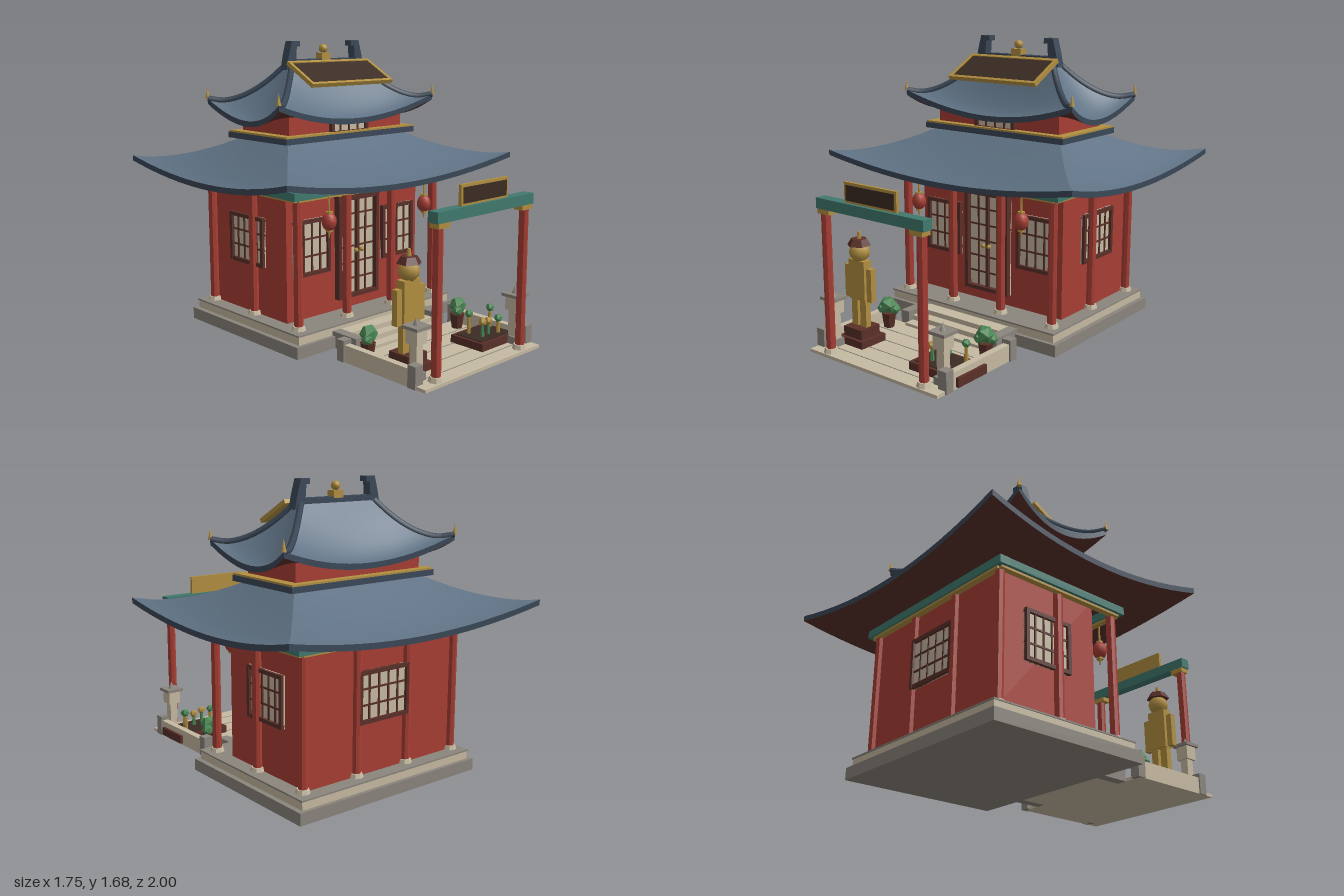
import * as THREE from 'three';

const mat = (name, color, side = THREE.FrontSide) => {
  const m = new THREE.MeshStandardMaterial({ color, side });
  m.name = name;
  return m;
};

export function createModel() {
  const root = new THREE.Group();
  root.name = 'templeWithCourtyard';
  const red = mat('red lacquer', 0xa83e34), slate = mat('roof slate', 0x5f7284), navy = mat('ridge navy', 0x3b4858);
  const gold = mat('gold', 0xb28f40), teal = mat('teal', 0x41796f), stone = mat('pale stone', 0xc6baa2);
  const grey = mat('grey stone', 0x8b857d), dark = mat('sign brown', 0x3b2c23);
  const wood = mat('mahogany', 0x5a3029), green = mat('leaf green', 0x4c8a55);
  const CZ = -0.273; // centre of the hall in z

  const add = (name, geo, material, x = 0, y = 0, z = 0, parent = root) => {
    const m = new THREE.Mesh(geo, material);
    m.name = name;
    m.position.set(x, y, z);
    parent.add(m);
    return m;
  };
  // box from its bounds on each axis
  const box = (name, m, x0, x1, y0, y1, z0, z1, parent = root) =>
    add(name, new THREE.BoxGeometry(x1 - x0, y1 - y0, z1 - z0), m, (x0 + x1) / 2, (y0 + y1) / 2, (z0 + z1) / 2, parent);
  // box centred in plan on the hall
  const slab = (name, m, hx, y0, y1, hz) => box(name, m, -hx, hx, y0, y1, CZ - hz, CZ + hz);
  // faceted round part standing from y0 to y1
  const drum = (name, m, r0, r1, y0, y1, x, z, sides = 8, parent = root) =>
    add(name, new THREE.CylinderGeometry(r1, r0, y1 - y0, sides).toNonIndexed(), m, x, (y0 + y1) / 2, z, parent)
      .geometry.computeVertexNormals();
  const clump = (name, m, r, x, y, z) => add(name, new THREE.IcosahedronGeometry(r, 0), m, x, y, z);

  // surface from a rule p(u, v) => [x, y, z]
  const grid = (p, nu, nv) => {
    const pos = [], idx = [];
    for (let j = 0; j <= nv; j++) for (let i = 0; i <= nu; i++) pos.push(...p(i / nu, j / nv));
    for (let j = 0; j < nv; j++) for (let i = 0; i < nu; i++) {
      const a = j * (nu + 1) + i, b = a + 1, c = a + nu + 1, d = c + 1;
      idx.push(a, c, b, b, c, d);
    }
    const g = new THREE.BufferGeometry();
    g.setAttribute('position', new THREE.Float32BufferAttribute(pos, 3));
    g.setIndex(idx);
    g.computeVertexNormals();
    return g;
  };
  const turns = [(a, y, b) => [a, y, b], (a, y, b) => [b, y, -a], (a, y, b) => [-a, y, -b], (a, y, b) => [-b, y, a]];

  // sweeping hipped roof: slopes, fascia and soffit on four sides
  const roof = (name, o) => {
    const g = new THREE.Group();
    g.name = name;
    g.position.z = CZ;
    root.add(g);
    const lerp = THREE.MathUtils.lerp;
    const point = (k, s, t) => {
      const [top, eave] = k % 2 ? [[o.top[1], o.top[0]], [o.eave[1], o.eave[0]]] : [o.top, o.eave];
      const y = o.y - o.drop * (1 - (1 - t) ** o.power) + o.lift * s * s * t * t;
      return turns[k](s * lerp(top[0], eave[0], t), y, lerp(top[1], eave[1], t) - o.bow * (1 - s * s) * t);
    };
    for (let k = 0; k < 4; k++) {
      const edge = (u, down) => {
        const [x, y, z] = point(k, u * 2 - 1, 1);
        return [x, y - down, z];
      };
      add('roofSlope', grid((u, v) => point(k, u * 2 - 1, v), 16, 10), slate, 0, 0, 0, g);
      add('eaveFascia', grid((u, v) => edge(u, v * 0.032), 16, 1), navy, 0, 0, 0, g);
      const inner = k % 2 ? [o.inner[1], o.inner[0]] : o.inner;
      add('soffit', grid((u, v) => {
        const e = edge(u, 0.032), w = turns[k]((u * 2 - 1) * inner[0], o.innerY, inner[1]);
        return e.map((c, i) => lerp(c, w[i], v));
      }, 16, 3), wood, 0, 0, 0, g);
      if (o.hips) {
        const pts = [0, 0.2, 0.4, 0.6, 0.8, 1].map(t => new THREE.Vector3(...point(k, 1, t)));
        add('hipRidge', new THREE.TubeGeometry(new THREE.CatmullRomCurve3(pts), 16, 0.018, 6), navy, 0, 0, 0, g);
        const c = pts[5];
        add('cornerTip', new THREE.ConeGeometry(0.014, 0.065, 6), gold, c.x, c.y + 0.03, c.z, g);
      }
    }
  };

  // lattice panel facing +z, centred on its group
  const lattice = (name, w, h, cols, rows, x, y, z, turn = 0, deep = 0.025) => {
    const g = new THREE.Group();
    g.name = name;
    g.position.set(x, y, z);
    g.rotation.y = turn;
    root.add(g);
    box('panes', stone, -w / 2, w / 2, -h / 2, h / 2, 0, 0.008, g);
    for (let i = 0; i <= cols; i++) {
      const r = i % cols ? 0.005 : 0.011, px = (i / cols - 0.5) * (w - 0.022);
      box('upright', wood, px - r, px + r, -h / 2, h / 2, 0, i % cols ? 0.015 : deep, g);
    }
    for (let j = 0; j <= rows; j++) {
      const r = j % rows ? 0.005 : 0.011, py = (j / rows - 0.5) * (h - 0.022);
      box('crossbar', wood, -w / 2, w / 2, py - r, py + r, 0, j % rows ? 0.0145 : deep - 0.001, g);
    }
  };

  // plinth
  slab('plinthBase', grey, 0.634, 0, 0.068, 0.497);
  slab('plinthTop', stone, 0.605, 0.068, 0.114, 0.475);
  slab('plinthCap', grey, 0.61, 0.114, 0.123, 0.48);

  // hall walls, columns and beams
  box('hallWalls', red, -0.52, 0.52, 0.12, 0.905, -0.67, 0);
  const column = (x, z, y0, y1) => {
    drum('columnFoot', stone, 0.042, 0.034, y0, y0 + 0.026, x, z);
    drum('column', red, 0.026, 0.026, y0 + 0.02, y1, x, z);
  };
  for (const x of [-0.54, -0.18, 0.18, 0.54]) for (const z of [0.125, -0.67]) column(x, z, 0.12, 0.86);
  for (const x of [-0.54, 0.54]) column(x, CZ, 0.12, 0.86);
  for (const s of [-1, 1]) {
    const zb = CZ + s * 0.415, xb = s * 0.565;
    box('eaveBeam', teal, -0.6, 0.6, 0.852, 0.897, zb - 0.03, zb + 0.03);
    box('eaveBeam', teal, xb - 0.035, xb + 0.035, 0.853, 0.896, CZ - 0.444, CZ + 0.444);
    box('beamTrim', gold, -0.56, 0.56, 0.84, 0.853, zb - 0.018, zb + 0.018);
    box('beamTrim', gold, xb - 0.018, xb + 0.018, 0.84, 0.853, CZ - 0.42, CZ + 0.42);
  }

  // doors and windows
  lattice('frontDoors', 0.32, 0.605, 4, 6, 0, 0.493, 0, 0, 0.04);
  box('doorSplit', wood, -0.009, 0.009, 0.19, 0.795, 0, 0.03);
  box('doorLintel', wood, -0.165, 0.165, 0.79, 0.805, 0, 0.042);
  box('lintelTrim', gold, -0.16, 0.16, 0.805, 0.822, 0, 0.04);
  for (const s of [-1, 1]) {
    add('doorHandle', new THREE.SphereGeometry(0.014, 8, 6), gold, s * 0.022, 0.47, 0.036);
    lattice('frontWindow', 0.265, 0.325, 4, 3, s * 0.343, 0.538, 0);
    lattice('sideWindow', 0.31, 0.29, 5, 3, s * 0.52, 0.555, -0.34, s * Math.PI / 2);
  }
  lattice('backWindow', 0.36, 0.29, 5, 3, 0, 0.555, -0.67, Math.PI);

  // lower roof, waist and upper storey
  roof('lowerRoof', { y: 1.135, drop: 0.215, lift: 0.09, power: 1.3, bow: 0.03, top: [0.44, 0.2], eave: [0.876, 0.727], inner: [0.45, 0.3], innerY: 0.9 });
  slab('waistBand', navy, 0.505, 1.127, 1.16, 0.267);
  slab('waistTrim', gold, 0.5, 1.16, 1.17, 0.262);
  slab('upperWalls', red, 0.44, 1.1, 1.28, 0.212);
  lattice('upperWindow', 0.29, 0.1, 4, 1, 0, 1.2, CZ + 0.212);
  roof('upperRoof', { y: 1.55, drop: 0.305, lift: 0.11, power: 1.5, bow: 0.035, top: [0.26, 0.025], eave: [0.602, 0.328], inner: [0.4, 0.18], innerY: 1.26, hips: true });

  // main ridge with horned ends and finial
  slab('mainRidge', navy, 0.29, 1.52, 1.578, 0.027);
  const horn = new THREE.Shape([[0.235, 1.52], [0.302, 1.52], [0.285, 1.6], [0.262, 1.682], [0.2, 1.682], [0.2, 1.652], [0.225, 1.652]]
    .map(p => new THREE.Vector2(...p)));
  for (const s of [0, 1]) {
    const h = add('ridgeHorn', new THREE.ExtrudeGeometry(horn, { depth: 0.056, bevelEnabled: false }), navy, 0, 0, CZ + (s ? 0.028 : -0.028));
    h.rotation.y = s * Math.PI;
  }
  slab('finialBlock', gold, 0.034, 1.57, 1.612, 0.028);
  add('finialBall', new THREE.SphereGeometry(0.026, 10, 8), gold, 0, 1.637, CZ);

  // tilted roof sign
  const board = new THREE.Group();
  board.name = 'roofSign';
  board.position.set(0, 1.5, -0.118);
  board.rotation.x = -Math.PI / 2 + Math.atan2(0.12, 0.22);
  root.add(board);
  box('signBack', gold, -0.315, 0.315, -0.125, 0.125, -0.01, 0.006, board);
  box('signFace', dark, -0.295, 0.295, -0.105, 0.105, 0.006, 0.009, board);
  for (const s of [-1, 1]) {
    box('signRail', gold, -0.315, 0.315, s * 0.115 - 0.01, s * 0.115 + 0.01, 0, 0.014, board);
    box('signStile', gold, s * 0.305 - 0.01, s * 0.305 + 0.01, -0.105, 0.105, 0, 0.014, board);
  }

  // hanging lanterns under the porch eave
  for (const x of [-0.38, 0.38]) {
    drum('lanternCord', gold, 0.006, 0.006, 0.76, 0.9, x, 0.2, 6);
    add('lanternBody', new THREE.SphereGeometry(0.042, 10, 8).scale(1, 1.25, 1), red, x, 0.72, 0.2);
    for (const y of [0.664, 0.764]) drum('lanternCap', gold, 0.02, 0.02, y, y + 0.012, x, 0.2);
    drum('lanternTassel', gold, 0.003, 0.008, 0.632, 0.665, x, 0.2, 6);
  }

  // steps
  for (let i = 0; i < 3; i++) box('step', stone, -0.3, 0.3, 0, 0.035 + i * 0.028, 0.2, 0.42 - i * 0.065);
  for (const s of [-1, 1]) box('stepCheek', grey, s * 0.33 - 0.03, s * 0.33 + 0.03, 0, 0.094, 0.2, 0.39);

  // courtyard paving, side walls and stone lanterns
  box('courtFloor', stone, -0.47, 0.47, 0, 0.018, 0.39, 1);
  for (const z of [0.53, 0.655, 0.78, 0.9]) box('pavingSeam', grey, -0.43, 0.43, 0.018, 0.0195, z - 0.003, z + 0.003);
  for (const s of [-1, 1]) {
    const x = s * 0.45;
    box('courtWall', stone, x - 0.02, x + 0.02, 0, 0.096, 0.41, 0.9);
    for (const z of [0.393, 0.913]) box('wallPost', grey, x - 0.028, x + 0.028, 0, 0.12, z - 0.027, z + 0.027);
    const lx = s * 0.403, lz = 0.875;
    const part = (name, m, h, y0, y1) => box(name, m, lx - h, lx + h, y0, y1, lz - h, lz + h);
    part('stoneLanternFoot', grey, 0.036, 0.018, 0.06);
    part('stoneLanternPost', stone, 0.024, 0.06, 0.21);
    part('stoneLanternBox', stone, 0.038, 0.21, 0.29);
    part('stoneLanternCap', grey, 0.053, 0.288, 0.305);
    add('stoneLanternTip', new THREE.ConeGeometry(0.02, 0.045, 5), grey, lx, 0.326, lz);
  }

  // entrance gate
  for (const s of [-1, 1]) {
    column(s * 0.345, 0.957, 0.018, 0.84);
    box('gateBracket', gold, s * 0.333 - 0.042, s * 0.333 + 0.042, 0.803, 0.832, 0.927, 0.987);
  }
  box('gateBeam', teal, -0.385, 0.385, 0.83, 0.888, 0.925, 0.988);
  box('gateSign', gold, -0.187, 0.187, 0.885, 0.997, 0.948, 0.966);
  box('gateSignFace', dark, -0.172, 0.172, 0.9, 0.982, 0.966, 0.97);

  // gilded guardian on a two-step pedestal
  const gx = -0.325, gz = 0.745;
  box('pedestalBase', wood, gx - 0.093, gx + 0.093, 0.018, 0.06, gz - 0.09, gz + 0.09);
  box('pedestalTop', wood, gx - 0.07, gx + 0.07, 0.06, 0.115, gz - 0.07, gz + 0.07);
  box('guardianBody', gold, gx - 0.06, gx + 0.06, 0.27, 0.5, gz - 0.028, gz + 0.028);
  for (const s of [-1, 1]) {
    box('guardianLeg', gold, gx + s * 0.033 - 0.023, gx + s * 0.033 + 0.023, 0.115, 0.275, gz - 0.018, gz + 0.018);
    box('guardianArm', gold, gx + s * 0.085 - 0.018, gx + s * 0.085 + 0.018, 0.27, 0.46, gz - 0.018, gz + 0.018);
  }
  add('guardianHead', new THREE.SphereGeometry(0.058, 8, 6), gold, gx, 0.543, gz);
  drum('guardianHat', wood, 0.068, 0.045, 0.583, 0.62, gx, gz, 6);
  drum('hatKnob', gold, 0.013, 0.009, 0.62, 0.658, gx, gz, 6);

  // potted shrubs
  for (const s of [-1, 1]) {
    drum('shrubPot', wood, 0.03, 0.042, 0.018, 0.105, s * 0.365, 0.49);
    clump('shrub', green, 0.052, s * 0.365, 0.155, 0.495);
    clump('shrubSide', green, 0.036, s * 0.365 + 0.026, 0.128, 0.468);
    clump('shrubSide', green, 0.034, s * 0.365 - 0.026, 0.132, 0.512);
  }

  // flower bed
  box('flowerBed', wood, 0.145, 0.488, 0.012, 0.062, 0.632, 0.858);
  box('bedSoil', dark, 0.165, 0.428, 0.062, 0.066, 0.652, 0.838);
  const plants = [[0.23, 0.69, 0.18, green], [0.405, 0.7, 0.18, green], [0.24, 0.78, 0.15, gold], [0.305, 0.77, 0.14, gold], [0.36, 0.795, 0.15, green]];
  for (const [x, z, y, m] of plants) {
    drum('plantStem', m === green ? gold : green, 0.012, 0.009, 0.062, y, x, z, 6);
    clump('plantHead', m, 0.025, x, y, z);
  }
  return root;
}
